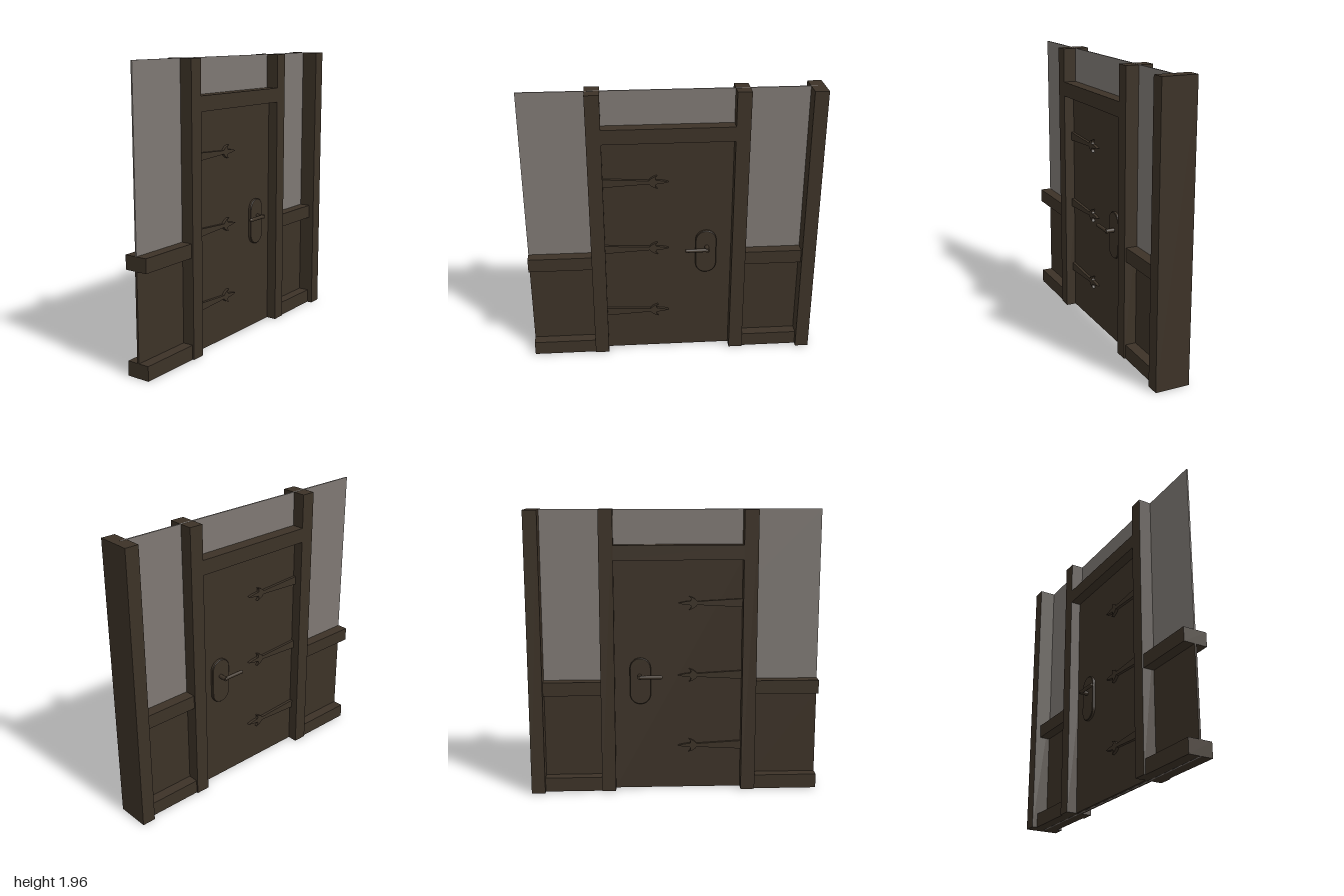
import * as THREE from 'three';

const wood = new THREE.MeshStandardMaterial({ color: 0x3c3227 });
wood.name = 'dark brown';
const glass = new THREE.MeshStandardMaterial({ color: 0x7e7873 });
glass.name = 'smoky grey glass';

const TOP = 1.955;

// Box centred on x = 0, given by half width and its y and z ranges
function slab(name, halfX, y0, y1, z0, z1, material = wood) {
  const mesh = new THREE.Mesh(new THREE.BoxGeometry(halfX * 2, y1 - y0, z1 - z0), material);
  mesh.position.set(0, (y0 + y1) / 2, (z0 + z1) / 2);
  mesh.name = name;
  return mesh;
}

// Flat outline (u runs towards -z, v up) raised along +x
function raised(name, shape, depth, bevel) {
  const geometry = new THREE.ExtrudeGeometry(shape, {
    depth: depth - bevel, curveSegments: 12,
    bevelEnabled: bevel > 0, bevelSize: bevel, bevelThickness: bevel, bevelOffset: -bevel, bevelSegments: 1,
  });
  geometry.rotateY(Math.PI / 2);
  const mesh = new THREE.Mesh(geometry, wood);
  mesh.name = name;
  return mesh;
}

// Tapering strap hinge with a spear tip and two curled barbs
function strapShape() {
  const s = new THREE.Shape();
  s.moveTo(0, -0.029);
  s.lineTo(0.31, -0.012);
  s.quadraticCurveTo(0.325, -0.036, 0.365, -0.046);
  s.quadraticCurveTo(0.343, -0.028, 0.358, -0.014);
  s.quadraticCurveTo(0.4, -0.012, 0.44, 0);
  s.quadraticCurveTo(0.4, 0.012, 0.358, 0.014);
  s.quadraticCurveTo(0.343, 0.028, 0.365, 0.046);
  s.quadraticCurveTo(0.325, 0.036, 0.31, 0.012);
  s.lineTo(0, 0.029);
  s.closePath();
  return s;
}

// Upright plate with round ends
function plateShape(r, halfStraight) {
  const s = new THREE.Shape();
  s.moveTo(r, -halfStraight);
  s.lineTo(r, halfStraight);
  s.absarc(0, halfStraight, r, 0, Math.PI, false);
  s.lineTo(-r, -halfStraight);
  s.absarc(0, -halfStraight, r, Math.PI, Math.PI * 2, false);
  return s;
}

// Hinges and handle for one face of the door
function hardware(doorX) {
  const group = new THREE.Group();
  for (const y of [0.313, 0.82, 1.323]) {
    const strap = raised('strapHinge', strapShape(), 0.02, 0);
    strap.position.set(doorX, y, 0.465);
    group.add(strap);
  }
  const plate = raised('handlePlate', plateShape(0.073, 0.09), 0.02, 0.004);
  plate.position.set(doorX, 0.78, -0.237);
  group.add(plate);

  const stem = new THREE.Mesh(new THREE.CylinderGeometry(0.015, 0.015, 0.078, 16), wood);
  stem.rotation.z = Math.PI / 2;
  stem.position.set(doorX + 0.039, 0.818, -0.242);
  stem.name = 'handleStem';
  const lever = new THREE.Mesh(new THREE.CapsuleGeometry(0.013, 0.142, 6, 16), wood);
  lever.rotation.x = Math.PI / 2;
  lever.position.set(0.091, 0.818, -0.168);
  lever.name = 'handleLever';
  group.add(stem, lever);
  return group;
}

export function createModel() {
  const model = new THREE.Group();
  model.name = 'doorPartition';

  // Glass sheet along the whole wall, showing as a thin line between the post halves
  model.add(slab('glassSheet', 0.005, 0, TOP, -0.95, 0.999, glass));

  // Posts
  model.add(slab('endPost', 0.118, 0.001, TOP - 0.001, -1, -0.906));
  model.add(slab('doorPost', 0.093, 0.001, TOP - 0.001, -0.51, -0.414));
  model.add(slab('doorPost', 0.093, 0.001, TOP - 0.001, 0.465, 0.562));

  // Side bays: two rails and a thin lower panel each
  for (const [z0, z1] of [[-0.906, -0.51], [0.562, 1]]) {
    model.add(slab('bottomRail', 0.082, 0.001, 0.1, z0, z1));
    model.add(slab('middleRail', 0.082, 0.69, 0.785, z0, z1));
    model.add(slab('lowerPanel', 0.007, 0.1, 0.69, z0, z1));
  }

  // Door and its header
  const doorX = 0.022;
  model.add(slab('header', 0.093, 1.62, 1.72, -0.414, 0.465));
  model.add(slab('door', doorX, 0.001, 1.62, -0.414, 0.465));

  // Hardware on both faces; the second set is reflected across x = 0
  const near = hardware(doorX);
  near.name = 'leftHardware';
  const far = hardware(doorX);
  far.name = 'rightHardware';
  far.scale.x = -1;
  model.add(near, far);

  return model;
}
